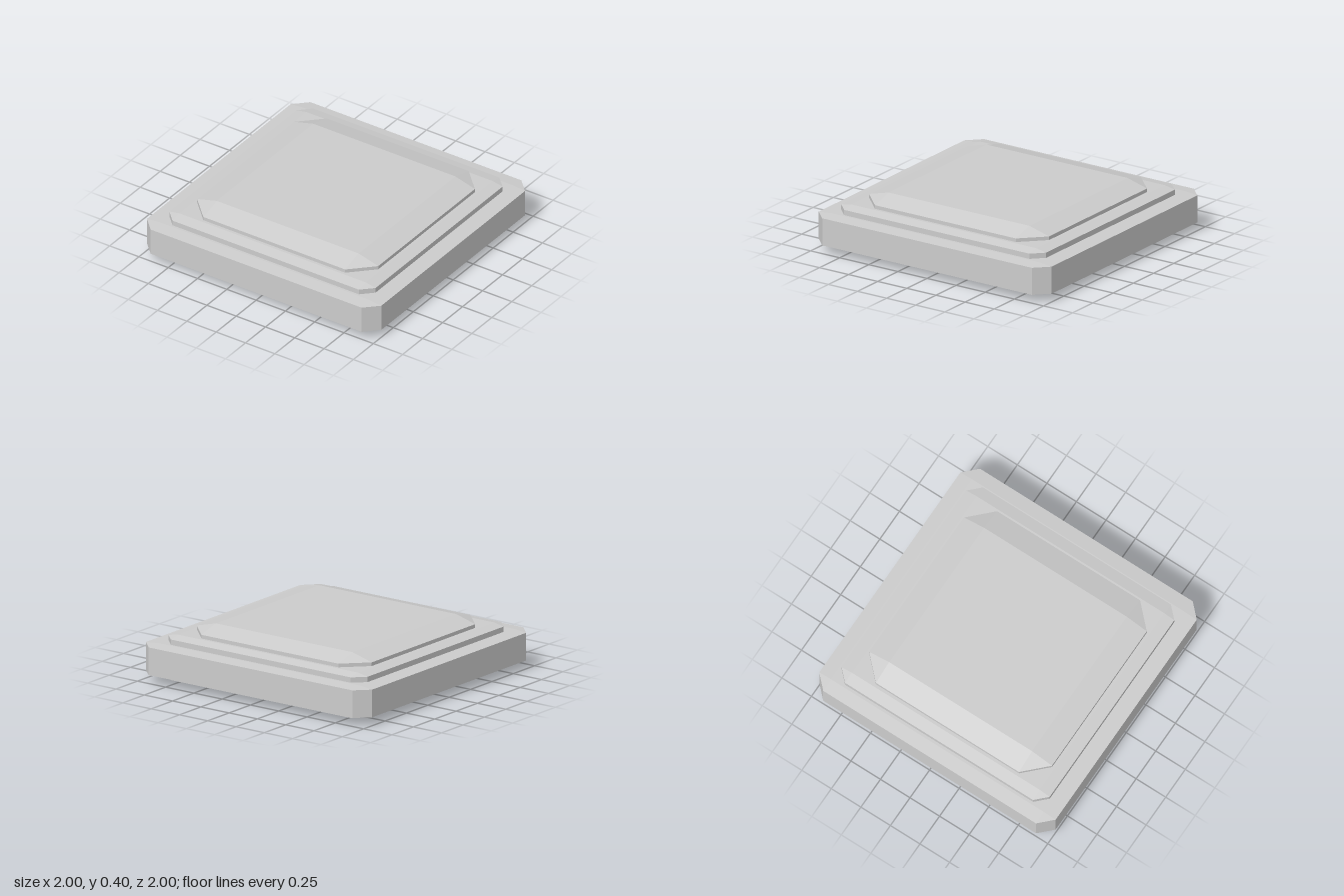
import * as THREE from 'three';

const material = new THREE.MeshStandardMaterial({ color: 0xcccccc, flatShading: true });

// Square slab with every edge bevelled: outer and inner half widths,
// heights = [bottom face, side bottom, side top, top face]
function bevelledSlab(name, outer, inner, heights) {
  const octagon = (o, i) => [[o, i], [o, -i], [i, -o], [-i, -o], [-o, -i], [-o, i], [-i, o], [i, o]];
  const rings = heights.map((y, k) => {
    const o = k === 0 || k === 3 ? inner : outer;
    return octagon(o, inner).map(([x, z]) => new THREE.Vector3(x, y, z));
  });
  const positions = [];
  const triangle = (a, b, c) => {
    if (a.equals(b) || b.equals(c) || c.equals(a)) return;
    for (const p of [a, b, c]) positions.push(p.x, p.y, p.z);
  };
  // Walls and bevels between neighbouring rings
  for (let r = 0; r < 3; r++) {
    for (let k = 0; k < 8; k++) {
      const n = (k + 1) % 8;
      triangle(rings[r][k], rings[r][n], rings[r + 1][n]);
      triangle(rings[r][k], rings[r + 1][n], rings[r + 1][k]);
    }
  }
  // Flat top and bottom
  const [bottom, top] = [rings[0], rings[3]];
  for (const [a, b, c] of [[0, 1, 3], [0, 3, 5]]) {
    triangle(top[a], top[b], top[c]);
    triangle(bottom[a], bottom[c], bottom[b]);
  }
  const geometry = new THREE.BufferGeometry();
  geometry.setAttribute('position', new THREE.Float32BufferAttribute(positions, 3));
  geometry.computeVertexNormals();
  const mesh = new THREE.Mesh(geometry, material);
  mesh.name = name;
  return mesh;
}

export function createModel() {
  const group = new THREE.Group();
  group.name = 'steppedTile';
  group.add(
    bevelledSlab('rim', 1, 0.9, [0.052, 0.062, 0.265, 0.275]),
    bevelledSlab('core', 0.88, 0.795, [0, 0.016, 0.314, 0.33]),
    bevelledSlab('topPad', 0.773, 0.605, [0.2, 0.245, 0.357, 0.402])
  );
  return group;
}
